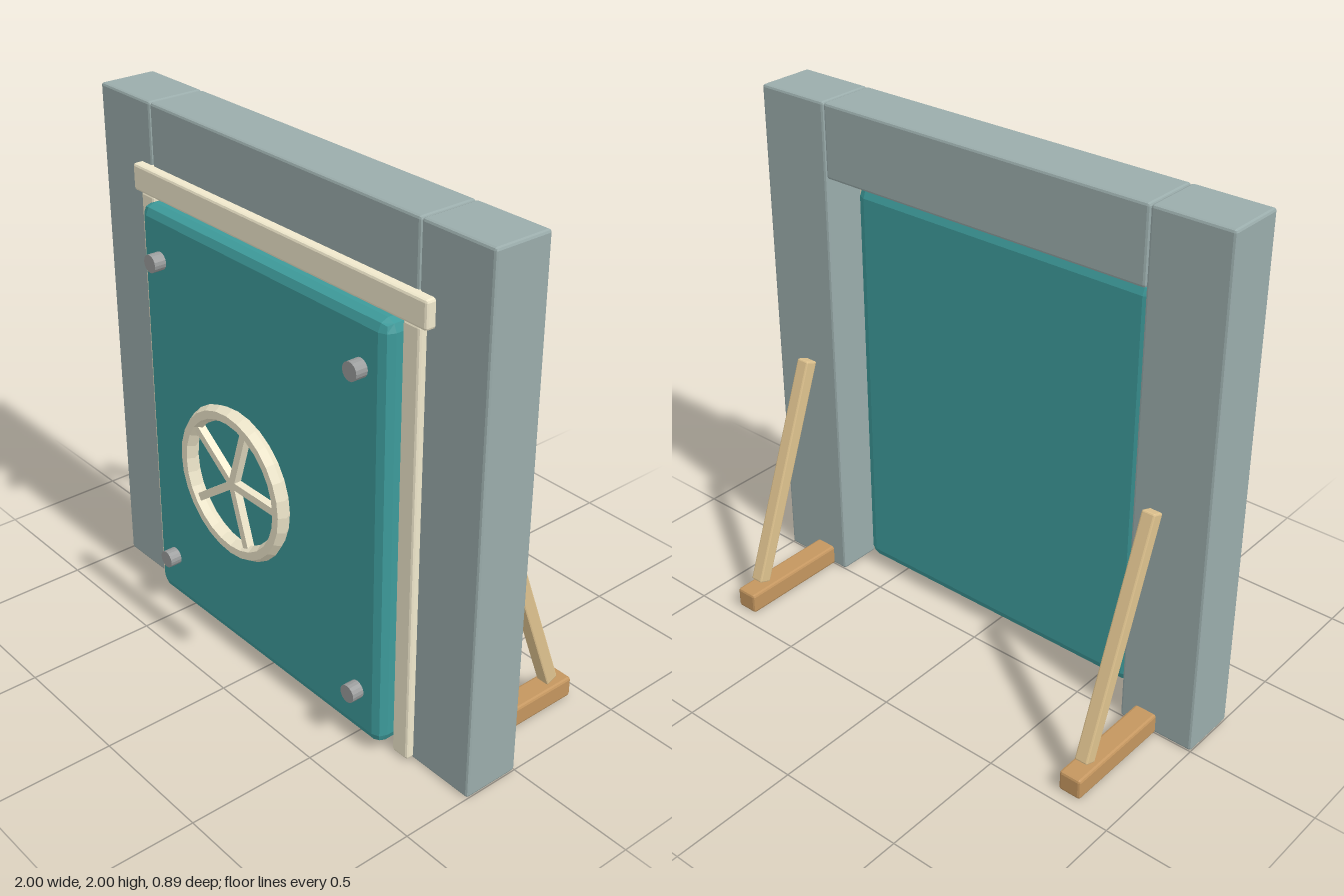
import * as THREE from 'three';
import { RoundedBoxGeometry } from 'three/addons/geometries/RoundedBoxGeometry.js';

const mat = (color) => new THREE.MeshStandardMaterial({ color, flatShading: true });

export function createModel() {
  const model = new THREE.Group();
  const stone = mat(0x9aacab), teal = mat(0x3d9a9a), cream = mat(0xf0e8cc);
  const metal = mat(0x9a9c9c), paleWood = mat(0xdec28e), wood = mat(0xc4965f);

  const add = (name, geometry, material, x, y, z, parent = model) => {
    const mesh = new THREE.Mesh(geometry, material);
    mesh.name = name;
    mesh.position.set(x, y, z);
    parent.add(mesh);
    return mesh;
  };
  // Bevelled box given by its extents along each axis
  const block = (name, material, [x0, x1], [y0, y1], [z0, z1], bevel = 0.01) =>
    add(name, new RoundedBoxGeometry(x1 - x0, y1 - y0, z1 - z0, 1, bevel), material,
      (x0 + x1) / 2, (y0 + y1) / 2, (z0 + z1) / 2);
  const span = (side, a, b) => (side > 0 ? [a, b] : [-b, -a]);

  // Wall: lintel between two pillars
  block('lintel', stone, [-0.693, 0.693], [1.715, 2], [0, 0.227]);

  // Door slab and the trim above it
  block('door', teal, [-0.655, 0.655], [0.042, 1.667], [0.105, 0.318], 0.04);
  block('topTrim', cream, [-0.767, 0.767], [1.666, 1.768], [0.17, 0.263]);

  for (const side of [1, -1]) {
    const label = side > 0 ? 'left' : 'right';
    block(label + 'Pillar', stone, span(side, 0.695, 1), [0, 2], [0, 0.227]);
    block(label + 'Trim', cream, span(side, 0.655, 0.732), [0.005, 1.67], [0.17, 0.256]);

    // Rear support: foot on the ground and a leaning strut
    block(label + 'Foot', wood, span(side, 0.757, 0.847), [0, 0.082], [-0.447, 0.01]);
    const strut = add(label + 'Strut', new RoundedBoxGeometry(0.053, 0.92, 0.053, 1, 0.006), paleWood,
      side * 0.803, 0.528, -0.204);
    strut.rotation.x = Math.atan2(0.32, 0.86);

    // Door bolts
    for (const y of [0.233, 1.48]) {
      const bolt = add(label + 'Bolt', new THREE.CylinderGeometry(0.034, 0.034, 0.08, 16), metal,
        side * 0.538, y, 0.325);
      bolt.rotation.x = Math.PI / 2;
    }
  }

  // Hand wheel: hexagonal-section rim with five spokes
  const wheel = new THREE.Group();
  wheel.name = 'handWheel';
  wheel.position.set(0, 0.85, 0.421);
  model.add(wheel);
  add('wheelRim', new THREE.TorusGeometry(0.26, 0.03, 6, 28), cream, 0, 0, 0, wheel);
  for (let i = 0; i < 5; i++) {
    const a = (i / 5) * Math.PI * 2;
    const spoke = add('spoke', new THREE.BoxGeometry(0.25, 0.029, 0.029), cream,
      Math.cos(a) * 0.125, Math.sin(a) * 0.125, 0, wheel);
    spoke.rotation.z = a;
  }
  return model;
}
